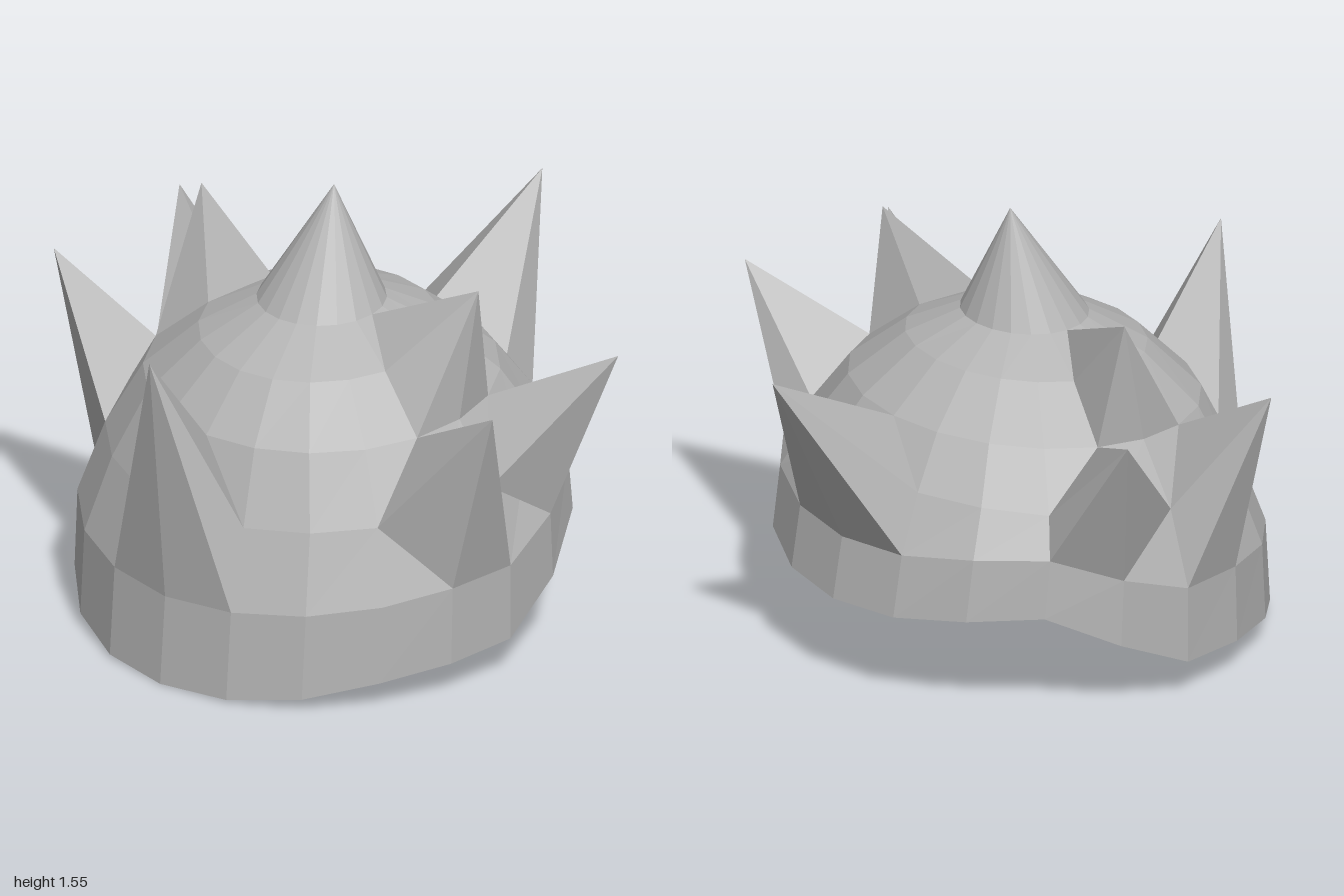
import * as THREE from 'three';

const SIDES = 20;
const CENTRE_Z = 0.12;

// Rings from crown to rim: half width, front and back depth, and either
// [front, back] heights or eleven heights from front to back.
const RINGS = [
  { w: 0.225, f: 0.22, b: 0.21, y: [1.15, 1.17] },
  { w: 0.42, f: 0.42, b: 0.39, y: [1.03, 1.09] },
  { w: 0.62, f: 0.59, b: 0.58, y: [0.85, 0.94] },
  { w: 0.76, f: 0.7, b: 0.71, y: [0.6, 0.77] },
  { w: 0.85, f: 0.8, b: 0.81, y: [0.32, 0.33, 0.35, 0.38, 0.41, 0.42, 0.51, 0.61, 0.6, 0.57, 0.56] },
  { w: 0.85, f: 0.825, b: 0.85, y: [0, 0.01, 0.045, 0.1, 0.13, 0.145, 0.27, 0.4, 0.38, 0.35, 0.34] },
];

// Point i of a ring: 0 is the front, 5 the left side, 10 the back
function ringPoint(r, i, inset = 0, drop = 0) {
  const ring = RINGS[r];
  const a = (i / SIDES) * Math.PI * 2;
  const c = Math.cos(a);
  const k = ((i % SIDES) + SIDES) % SIDES;
  const y = ring.y.length === 2
    ? THREE.MathUtils.lerp(ring.y[0], ring.y[1], (1 - c) / 2)
    : ring.y[Math.min(k, SIDES - k)];
  return [
    Math.sin(a) * (ring.w - inset),
    y - drop,
    CENTRE_Z + c * ((c > 0 ? ring.f : ring.b) - inset),
  ];
}

function meshFrom(name, triangles, material) {
  const geometry = new THREE.BufferGeometry();
  geometry.setAttribute('position', new THREE.Float32BufferAttribute(triangles.flat(2), 3));
  geometry.computeVertexNormals();
  const mesh = new THREE.Mesh(geometry, material);
  mesh.name = name;
  return mesh;
}

// Join two loops, the second lying above the first when seen from outside
function band(low, high) {
  const out = [];
  for (let i = 0; i < low.length; i++) {
    const j = (i + 1) % low.length;
    out.push([low[i], low[j], high[j]], [low[i], high[j], high[i]]);
  }
  return out;
}

// Faces from a base loop to one tip
function fan(base, tip) {
  return base.map((p, i) => [p, base[(i + 1) % base.length], tip]);
}

function loop(r, inset, drop) {
  return Array.from({ length: SIDES }, (_, i) => ringPoint(r, i, inset, drop));
}

export function createModel() {
  const group = new THREE.Group();
  group.name = 'spikedShell';
  const grey = new THREE.MeshStandardMaterial({ color: 0xb4b4b4, flatShading: true });
  grey.name = 'grey';

  const outer = RINGS.map((_, r) => loop(r, 0, 0));
  const last = RINGS.length - 1;
  const inner = RINGS.map((_, r) => loop(r, 0.035, r === last ? 0 : 0.03 - r * 0.005));

  // Outer dome, lining and rim
  const dome = [];
  const lining = [];
  for (let r = 0; r < last; r++) {
    dome.push(...band(outer[r + 1], outer[r]));
    lining.push(...band(inner[r], inner[r + 1]));
  }
  lining.push(...fan([...inner[0]].reverse(), [0, 1.14, CENTRE_Z]));
  group.add(meshFrom('dome', dome, grey));
  group.add(meshFrom('lining', lining, grey));
  group.add(meshFrom('rim', band(inner[last], outer[last]), grey));

  // Crown spike
  group.add(meshFrom('crownSpike', fan(outer[0], [0, 1.555, 0.06]), grey));

  // Other spikes: tip and base points as [ring, index]
  const spikes = [
    { name: 'frontSpike', tip: [0, 1.225, 1], base: [[2, 0], [3, -1], [4, -1], [4, 0], [4, 1], [3, 1]] },
    { name: 'backSpike', tip: [0, 1.225, -1], base: [[2, 10], [3, 9], [4, 9], [4, 10], [4, 11], [3, 11]] },
    { name: 'FrontSideSpike', pair: true, tip: [0.99, 1.105, 0.37], base: [[2, 4], [3, 3], [4, 4], [4, 5], [3, 5]] },
    { name: 'BackSideSpike', pair: true, tip: [0.99, 1.11, -0.27], base: [[2, 6], [3, 5], [4, 6], [4, 7], [3, 7]] },
    { name: 'UpperSpike', pair: true, tip: [0.625, 1.345, 0.03], base: [[0, 5], [1, 4], [2, 4], [2, 5], [2, 6], [1, 6]] },
  ];
  for (const { name, pair, tip, base } of spikes) {
    const points = base.map(([r, i]) => ringPoint(r, i));
    group.add(meshFrom(pair ? 'left' + name : name, fan(points, tip), grey));
    if (pair) {
      const flip = ([x, y, z]) => [-x, y, z];
      group.add(meshFrom('right' + name, fan(points.map(flip).reverse(), flip(tip)), grey));
    }
  }
  return group;
}
